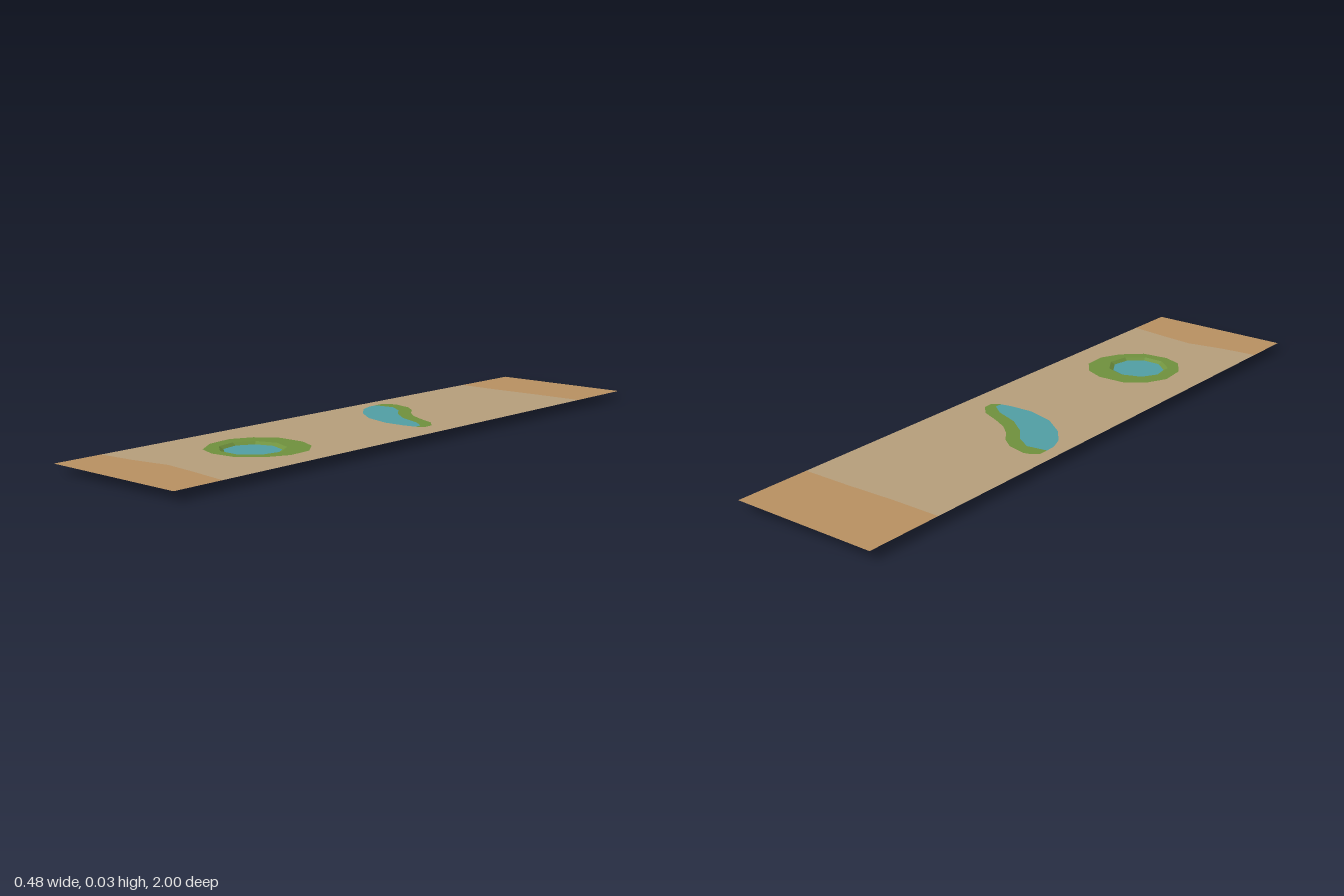
import * as THREE from 'three';

const LEVEL = 0.025;

const mat = (name, color) => {
  const m = new THREE.MeshStandardMaterial({ color, side: THREE.DoubleSide, flatShading: true });
  m.name = name;
  return m;
};

// Outlines are lists of [x, z]; shapes are laid flat with their top facing up.
const toPoints = (outline) => outline.map(([x, z]) => new THREE.Vector2(x, -z));

function flat(name, outline, material, y = LEVEL, holes = []) {
  const shape = new THREE.Shape(toPoints(outline));
  for (const h of holes) shape.holes.push(new THREE.Path(toPoints(h)));
  const geometry = new THREE.ShapeGeometry(shape).rotateX(-Math.PI / 2).translate(0, y, 0);
  const mesh = new THREE.Mesh(geometry, material);
  mesh.name = name;
  return mesh;
}

// Nine-sided loop around the centre of the round pool
const SIDES = 9;
function poolLoop(r) {
  return Array.from({ length: SIDES }, (_, i) => {
    const a = (i / SIDES) * Math.PI * 2;
    return [0.003 + r * Math.sin(a), 0.507 - r * 0.97 * Math.cos(a)];
  });
}

// Sloping band of wall between two loops
function wall(name, rTop, yTop, rLow, yLow, material) {
  const top = poolLoop(rTop), low = poolLoop(rLow), pos = [];
  for (let i = 0; i < SIDES; i++) {
    const j = (i + 1) % SIDES;
    const a = [top[i][0], yTop, top[i][1]], b = [top[j][0], yTop, top[j][1]];
    const c = [low[j][0], yLow, low[j][1]], d = [low[i][0], yLow, low[i][1]];
    pos.push(...a, ...d, ...c, ...a, ...c, ...b);
  }
  const geometry = new THREE.BufferGeometry();
  geometry.setAttribute('position', new THREE.Float32BufferAttribute(pos, 3));
  geometry.computeVertexNormals();
  const mesh = new THREE.Mesh(geometry, material);
  mesh.name = name;
  return mesh;
}

export function createModel() {
  const sand = mat('sand', 0xb8a07c);
  const clay = mat('clay', 0xba9262);
  const grass = mat('grass', 0x70923e);
  const water = mat('water', 0x52a0a6);
  const model = new THREE.Group();
  model.name = 'desertStrip';

  // Edges between sand and clay
  const backEdge = [[-0.24, -0.748], [-0.08, -0.748], [0.08, -0.754], [0.24, -0.756]];
  const frontEdge = [[-0.24, 0.843], [-0.12, 0.832], [0, 0.81], [0.1, 0.82], [0.24, 0.838]];

  // Curved pond: grassy bank on the far side, water on the near side
  const bankOuter = [
    [-0.195, -0.265], [-0.175, -0.285], [-0.15, -0.29], [-0.09, -0.275], [-0.05, -0.245],
    [-0.02, -0.205], [0.02, -0.17], [0.07, -0.145], [0.13, -0.12], [0.163, -0.085], [0.165, -0.05], [0.14, -0.035],
  ];
  const shore = [[-0.195, -0.235], [-0.13, -0.245], [-0.08, -0.215], [-0.04, -0.165], [0.02, -0.12], [0.1, -0.09], [0.14, -0.06], [0.14, -0.035]];
  const nearShore = [[0.1, -0.028], [0.03, -0.025], [-0.06, -0.05], [-0.13, -0.1], [-0.175, -0.155], [-0.193, -0.2]];

  // Round pool outline
  const ringOuter = [
    [-0.05, 0.355], [0.045, 0.35], [0.105, 0.375], [0.148, 0.43], [0.152, 0.505], [0.12, 0.57],
    [0.06, 0.625], [-0.025, 0.635], [-0.085, 0.613], [-0.128, 0.548], [-0.137, 0.465], [-0.105, 0.4],
  ];
  const rim = poolLoop(0.099);

  // Ground
  model.add(
    flat('backClay', [[-0.24, -1], [0.24, -1], ...[...backEdge].reverse()], clay),
    flat('frontClay', [...frontEdge, [0.24, 1], [-0.24, 1]], clay),
    flat('sandGround', [...backEdge, ...[...frontEdge].reverse()], sand, LEVEL,
      [[...bankOuter, ...nearShore, shore[0]], ringOuter]),
  );

  // Curved pond
  const pond = new THREE.Group();
  pond.name = 'curvedPond';
  pond.add(
    flat('pondBank', [...bankOuter, ...[...shore].reverse().slice(1)], grass),
    flat('pondWater', [...shore, ...nearShore], water),
  );

  // Sunken round pool
  const pool = new THREE.Group();
  pool.name = 'roundPool';
  pool.add(
    flat('poolBank', ringOuter, grass, LEVEL, [rim]),
    wall('poolUpperWall', 0.099, LEVEL, 0.075, 0.013, grass),
    wall('poolLowerWall', 0.075, 0.013, 0.053, 0, clay),
    flat('poolFloor', poolLoop(0.053), clay, 0),
    flat('poolWater', poolLoop(0.12), water, 0.018),
  );

  model.add(pond, pool);
  return model;
}
